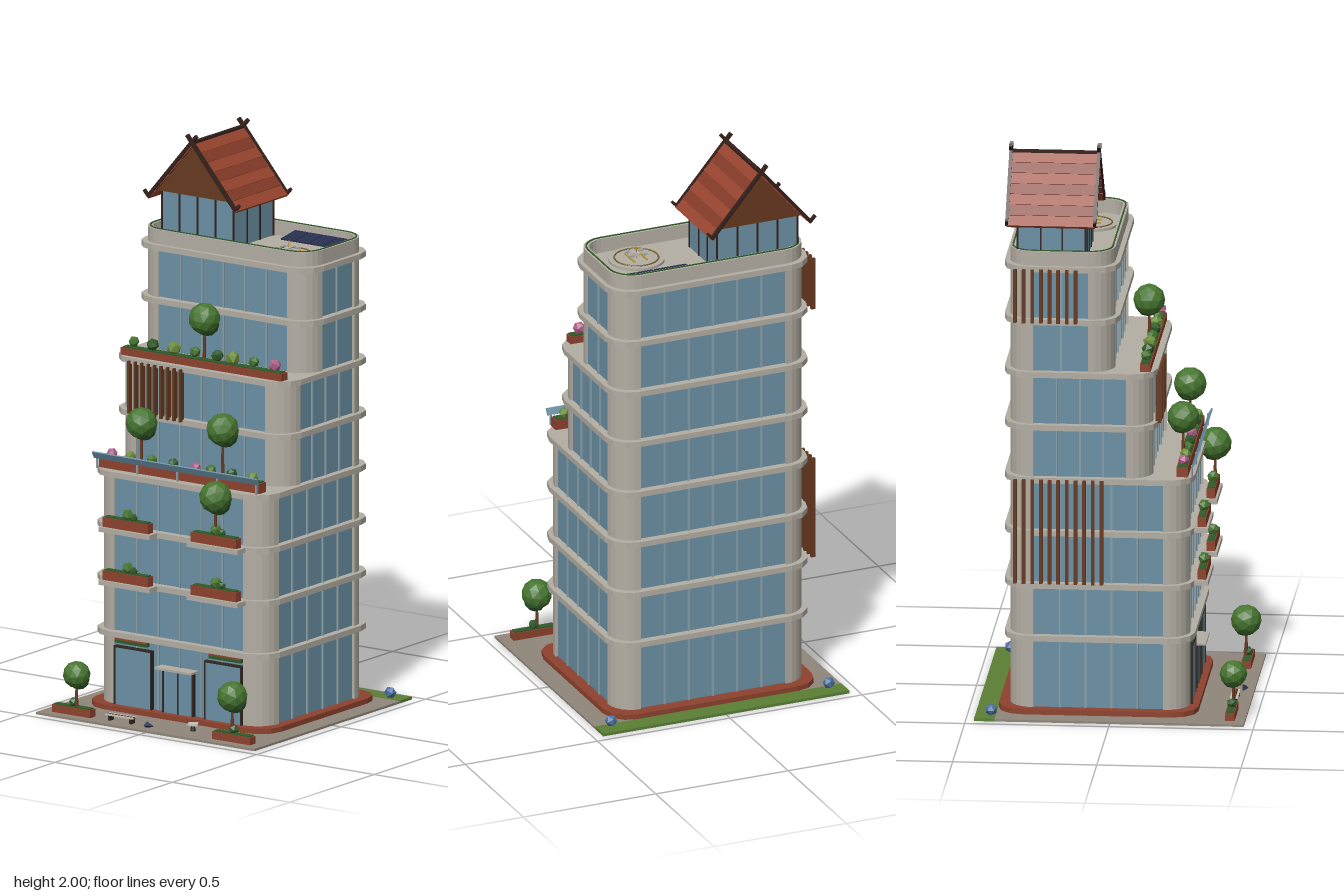
import * as THREE from 'three';

const mat = (color, flat = true) => new THREE.MeshStandardMaterial({ color, flatShading: flat, side: THREE.DoubleSide });
const M = {
  concrete: mat(0xb3aea3), glass: mat(0x6a90a5), mullion: mat(0x8ba0a8), dark: mat(0x2e2620), paving: mat(0x8f8679),
  grass: mat(0x5a7f35), brick: mat(0x8e422d), tile: mat(0x99452f), tileDark: mat(0x843a28), wood: mat(0x66391f),
  trim: mat(0x35201a), hedge: mat(0x2f5a28), leaf: mat(0x46752f), leafDark: mat(0x2f5a2a), lime: mat(0x6a8c38),
  pink: mat(0xb0608a), navy: mat(0x28304f), gold: mat(0x7a5c2c), yellow: mat(0xc09a3a), pale: mat(0xc4c2bc), blue: mat(0x4c70a0),
};

export function createModel() {
  const root = new THREE.Group();
  root.name = 'terracedTower';
  const group = (name, parent = root) => {
    const g = new THREE.Group();
    g.name = name;
    parent.add(g);
    return g;
  };
  const add = (name, geo, m, parent = root, x = 0, y = 0, z = 0) => {
    const mesh = new THREE.Mesh(geo, m);
    mesh.name = name;
    mesh.position.set(x, y, z);
    parent.add(mesh);
    return mesh;
  };
  // Box given by its limits on each axis
  const box = (name, m, x0, x1, y0, y1, z0, z1, parent = root) =>
    add(name, new THREE.BoxGeometry(x1 - x0, y1 - y0, z1 - z0), m, parent, (x0 + x1) / 2, (y0 + y1) / 2, (z0 + z1) / 2);
  // Square bar between two points
  const bar = (name, m, a, b, t, parent = root) => {
    const A = new THREE.Vector3(...a), B = new THREE.Vector3(...b);
    const mesh = add(name, new THREE.BoxGeometry(t, t, A.distanceTo(B)), m, parent);
    mesh.position.copy(A).lerp(B, 0.5);
    mesh.lookAt(B);
    return mesh;
  };
  // Rounded rectangle in plan (shape y = -z)
  const plan = (hx, zb, zf, r, n) => {
    const pts = [];
    [[hx - r, -zb - r], [-hx + r, -zb - r], [-hx + r, -zf + r], [hx - r, -zf + r]].forEach(([cx, cy], q) => {
      for (let i = 0; i <= n; i++) {
        const a = (q + i / n) * Math.PI / 2;
        pts.push(new THREE.Vector2(cx + r * Math.cos(a), cy + r * Math.sin(a)));
      }
    });
    return pts;
  };
  const prism = (name, m, pts, y0, y1, parent = root, hole) => {
    const s = new THREE.Shape(pts);
    if (hole) s.holes.push(new THREE.Path(hole));
    const g = new THREE.ExtrudeGeometry(s, { depth: y1 - y0, bevelEnabled: false }).rotateX(-Math.PI / 2);
    return add(name, g, m, parent, 0, y0, 0);
  };

  // Site
  box('paving', M.paving, -0.465, 0.465, 0, 0.008, -0.4, 0.465);
  box('grassStrip', M.grass, -0.465, 0.465, 0, 0.01, -0.47, -0.4);
  prism('plinth', M.brick, plan(0.393, -0.397, 0.295, 0.09, 3), 0.0005, 0.026);

  // Three stepped tiers: glass core, rounded corner piers, mullions
  const R = 0.088, H = 0.362, BACK = -0.36;
  const tiers = [[0.02, 0.847, 0.265], [0.847, 1.217, 0.137], [1.217, 1.6, 0.005]];
  tiers.forEach(([y0, y1, zf], t) => {
    const g = group('tier' + (t + 1));
    prism('glassCore', M.glass, plan(H - 0.01, BACK + 0.01, zf - 0.01, R - 0.01, 4), y0, y1, g);
    for (const sx of [1, -1]) for (const sz of [1, -1]) {
      const c = [sx * (H - R), sz > 0 ? zf - R : BACK + R], pts = [new THREE.Vector2(c[0], -c[1])];
      for (let i = 0; i <= 6; i++) {
        const a = i / 6 * Math.PI / 2;
        pts.push(new THREE.Vector2(c[0] + sx * R * Math.cos(a), -c[1] - sz * R * Math.sin(a)));
      }
      prism('cornerPier', M.concrete, pts, y0, y1, g);
    }
    for (let i = 1; i < 6; i++) {
      const x = -H + R + i * (2 * (H - R)) / 6;
      for (const z of [zf - 0.008, BACK + 0.008]) box('mullion', M.mullion, x - 0.003, x + 0.003, y0, y1, z - 0.004, z + 0.004, g);
    }
    const span = zf - BACK - 2 * R, n = Math.round(span / 0.09);
    for (let i = 1; i < n; i++) for (const x of [H - 0.008, 0.008 - H]) {
      const z = BACK + R + i * span / n;
      box('mullion', M.mullion, x - 0.004, x + 0.004, y0, y1, z - 0.003, z + 0.003, g);
    }
  });

  // Floor slabs; the terrace slabs belong to the tier below
  for (let i = 0; i < 8; i++) {
    const y = 0.276 + i * 0.189, zf = i < 4 ? 0.265 : i < 6 ? 0.137 : 0.005;
    prism('floorSlab', M.concrete, plan(0.378, -0.378, zf + 0.017, 0.09, 3), y - 0.01, y + 0.01);
  }

  // Roof terrace with parapet and planting strip
  prism('parapet', M.concrete, plan(H, BACK, 0.005, R, 6), 1.6, 1.66, root, plan(H - 0.02, BACK + 0.02, -0.015, R - 0.02, 6));
  prism('parapetGreen', M.hedge, plan(H - 0.007, BACK + 0.007, -0.002, R - 0.007, 6), 1.655, 1.663, root, plan(H - 0.012, BACK + 0.012, -0.007, R - 0.012, 6));
  const panels = group('solarPanels');
  for (let i = 0; i < 4; i++) {
    const p = add('solarPanel', new THREE.BoxGeometry(0.057, 0.005, 0.096), M.navy, panels, 0.089 + i * 0.0615, 1.63, -0.302);
    p.rotation.x = 0.15;
  }
  const pad = group('landingPad');
  pad.position.set(0.187, 1.61, -0.122);
  add('padDisc', new THREE.CylinderGeometry(0.098, 0.098, 0.012, 32), M.concrete, pad, 0, 0.002, 0);
  add('padRing', new THREE.TorusGeometry(0.077, 0.003, 6, 32).rotateX(Math.PI / 2), M.gold, pad, 0, 0.009, 0);
  add('droneBody', new THREE.BoxGeometry(0.018, 0.012, 0.018), M.pale, pad, 0, 0.022, 0);
  for (const s of [1, -1]) {
    box('droneSkid', M.yellow, s * 0.024 - 0.003, s * 0.024 + 0.003, 0.009, 0.014, -0.04, 0.04, pad);
    bar('droneArm', M.yellow, [-0.024, 0.02, s * 0.02], [0.024, 0.02, -s * 0.02], 0.004, pad);
    for (const q of [1, -1]) add('droneRotor', new THREE.CylinderGeometry(0.01, 0.01, 0.003, 5), M.mullion, pad, s * 0.024, 0.025, q * 0.02);
  }

  // Gabled roof pavilion
  const house = group('roofPavilion');
  const cx = -0.178, ridge = 1.965, eave = 1.75, w = 0.187, zA = -0.365, zB = -0.06;
  box('pavilionGlass', M.glass, -0.33, -0.026, 1.6, 1.78, -0.33, -0.095, house);
  for (const z of [-0.33, -0.095]) for (let i = 0; i < 5; i++) {
    const x = -0.33 + i * 0.076;
    box('pavilionPost', M.trim, x - 0.003, x + 0.003, 1.6, 1.78, z - 0.003, z + 0.003, house);
  }
  for (const x of [-0.33, -0.026]) for (const z of [-0.25, -0.175]) box('pavilionPost', M.trim, x - 0.003, x + 0.003, 1.6, 1.78, z - 0.003, z + 0.003, house);
  const tri = new THREE.Shape([[-0.158, 1.777], [0.158, 1.777], [0, 1.955]].map(p => new THREE.Vector2(...p)));
  add('gable', new THREE.ExtrudeGeometry(tri, { depth: 0.28, bevelEnabled: false }), M.wood, house, cx, 0, -0.352);
  const slope = Math.atan2(ridge - eave, w), len = Math.hypot(w, ridge - eave);
  for (const s of [1, -1]) {
    for (let i = 0; i < 7; i++) {
      const f = (i + 0.5) / 7;
      const c = add('tileCourse', new THREE.BoxGeometry(len / 7 + 0.004, 0.012, zB - zA), i % 2 ? M.tileDark : M.tile, house, cx + s * w * f, ridge - (ridge - eave) * f, (zA + zB) / 2);
      c.rotation.z = -s * (slope - 0.06);
    }
    for (const z of [zA, zB]) {
      bar('bargeboard', M.trim, [cx - s * 0.02, 1.995, z], [cx + s * w, eave + 0.003, z], 0.012, house);
      bar('eaveTip', M.trim, [cx + s * (w - 0.004), eave + 0.003, z], [cx + s * 0.203, 1.775, z], 0.01, house);
    }
  }
  box('ridgeBeam', M.trim, cx - 0.007, cx + 0.007, 1.96, 1.974, zA, zB, house);

  // Vertical timber louvres
  const louvres = group('louvres');
  for (let i = 0; i < 11; i++) {
    const z = -0.335 + i * 0.03;
    box('sideLouvre', M.wood, -0.393, -0.377, 0.476, 0.847, z - 0.006, z + 0.006, louvres);
    if (i < 8) box('sideLouvre', M.wood, -0.393, -0.377, 1.41, 1.6, z - 0.006, z + 0.006, louvres);
    if (i < 9) box('frontLouvre', M.wood, -0.293 + i * 0.0275, -0.285 + i * 0.0275, 1.035, 1.222, 0.145, 0.165, louvres);
  }

  // Planting
  const plants = group('planting');
  const bush = (x, y, z, r, m = M.leaf) => {
    const b = add('bush', new THREE.IcosahedronGeometry(r, 0), m, plants, x, y, z);
    b.rotation.set(x * 9, z * 20, x * 5);
  };
  const tree = (x, y, z, r, base) => {
    add('treeTrunk', new THREE.CylinderGeometry(0.004, 0.006, y - base, 6), M.wood, plants, x, (y + base) / 2, z);
    const g = new THREE.IcosahedronGeometry(r, 1);
    add('treeCrown', g, M.leaf, plants, x, y, z).rotation.set(x * 5, x * 8, 0.4);
    add('treeCrownShade', new THREE.IcosahedronGeometry(r * 0.75, 1), M.leafDark, plants, x + r * 0.15, y - r * 0.36, z - r * 0.1);
  };
  const planter = (x0, x1, y0, y1, z0, z1) => {
    box('planterBox', M.brick, x0, x1, y0, y1, z0, z1, plants);
    box('planterHedge', M.hedge, x0 + 0.006, x1 - 0.006, y1 - 0.004, y1 + 0.004, z0 + 0.004, z1 - 0.004, plants);
  };
  planter(-0.343, 0.34, 1.227, 1.257, 0.095, 0.132);
  planter(-0.343, 0.34, 0.857, 0.892, 0.222, 0.262);
  const tones = [M.leaf, M.leafDark, M.lime];
  [-0.3, -0.22, -0.13, -0.04, 0.055, 0.12, 0.21, 0.3].forEach((x, i) => {
    bush(x, 1.28, 0.113, 0.02 + (i % 3) * 0.003, i === 7 ? M.pink : tones[i % 3]);
    bush(x, 0.908, 0.243, 0.02, i === 0 || i === 4 ? M.pink : tones[(i + 1) % 3]);
  });
  tree(-0.01, 1.4, 0.1, 0.056, 1.25);
  tree(-0.183, 1.03, 0.232, 0.056, 0.88);
  tree(0.16, 1.055, 0.228, 0.058, 0.88);
  tree(0.19, 0.835, 0.312, 0.058, 0.69);

  // Balconies with planters on the lower front
  for (const y of [0.465, 0.654]) for (const [x0, x1] of [[-0.285, -0.092], [0.09, 0.283]]) {
    box('balconySlab', M.concrete, x0 - 0.012, x1 + 0.012, y - 0.008, y + 0.009, 0.265, 0.328, plants);
    planter(x0, x1, y + 0.01, y + 0.044, 0.29, 0.32);
    bush((x0 + x1) / 2, y + 0.062, 0.305, 0.022);
    bush((x0 + x1) / 2 + 0.025, y + 0.055, 0.305, 0.015, M.leafDark);
  }

  // Glass rail on the lower terrace
  add('terraceRail', new THREE.BoxGeometry(0.7, 0.026, 0.006), M.glass, root, -0.002, 0.904, 0.282).rotation.x = 0.5;
  for (const x of [-0.34, -0.17, 0, 0.17, 0.336]) box('railPost', M.mullion, x - 0.003, x + 0.003, 0.857, 0.9, 0.272, 0.278);

  // Entrance: side shopfronts, central door, canopy
  const entry = group('entrance');
  const framed = (x0, x1, y1) => {
    box('doorGlass', M.glass, x0, x1, 0.024, y1, 0.258, 0.27, entry);
    for (const x of [x0, x1]) box('doorFrame', M.dark, x - 0.003, x + 0.003, 0.024, y1, 0.256, 0.273, entry);
    box('doorHead', M.dark, x0 - 0.003, x1 + 0.003, y1 - 0.003, y1 + 0.003, 0.256, 0.273, entry);
  };
  framed(-0.27, -0.115, 0.232);
  framed(0.115, 0.27, 0.232);
  framed(-0.062, 0, 0.18);
  framed(0, 0.062, 0.18);
  box('canopy', M.concrete, -0.078, 0.078, 0.182, 0.19, 0.255, 0.302, entry);
  for (const s of [1, -1]) {
    box('awningGreen', M.hedge, s * 0.2 - 0.068, s * 0.2 + 0.068, 0.246, 0.257, 0.255, 0.274, entry);
    box('awningTrim', M.brick, s * 0.2 - 0.068, s * 0.2 + 0.068, 0.257, 0.262, 0.255, 0.274, entry);
  }

  // Forecourt
  for (const s of [1, -1]) {
    planter(s * 0.341 - 0.081, s * 0.341 + 0.081, 0.008, 0.035, 0.397, 0.43);
    bush(s * 0.341, 0.05, 0.413, 0.018, M.leafDark);
    add('blueShrub', new THREE.IcosahedronGeometry(0.022, 0), M.blue, plants, s * 0.411, 0.028, -0.415);
  }
  tree(-0.325, 0.152, 0.418, 0.048, 0.03);
  tree(0.33, 0.165, 0.408, 0.054, 0.03);
  const bench = group('bench');
  for (let i = 0; i < 3; i++) box('benchSlat', i === 1 ? M.wood : M.pale, -0.2, -0.083, 0.026, 0.031, 0.395 + i * 0.01, 0.403 + i * 0.01, bench);
  for (const x of [-0.19, -0.1]) box('benchLeg', M.dark, x, x + 0.008, 0.008, 0.026, 0.397, 0.421, bench);
  const kiosk = add('seatBlock', new THREE.BoxGeometry(0.034, 0.006, 0.038), M.pale, root, 0.138, 0.032, 0.373);
  kiosk.rotation.y = 0.5;
  add('seatStem', new THREE.CylinderGeometry(0.006, 0.01, 0.022, 6), M.dark, root, 0.138, 0.019, 0.373);
  add('marker', new THREE.ConeGeometry(0.014, 0.036, 3).rotateZ(-Math.PI / 2), M.navy, root, -0.003, 0.018, 0.432);
  return root;
}
